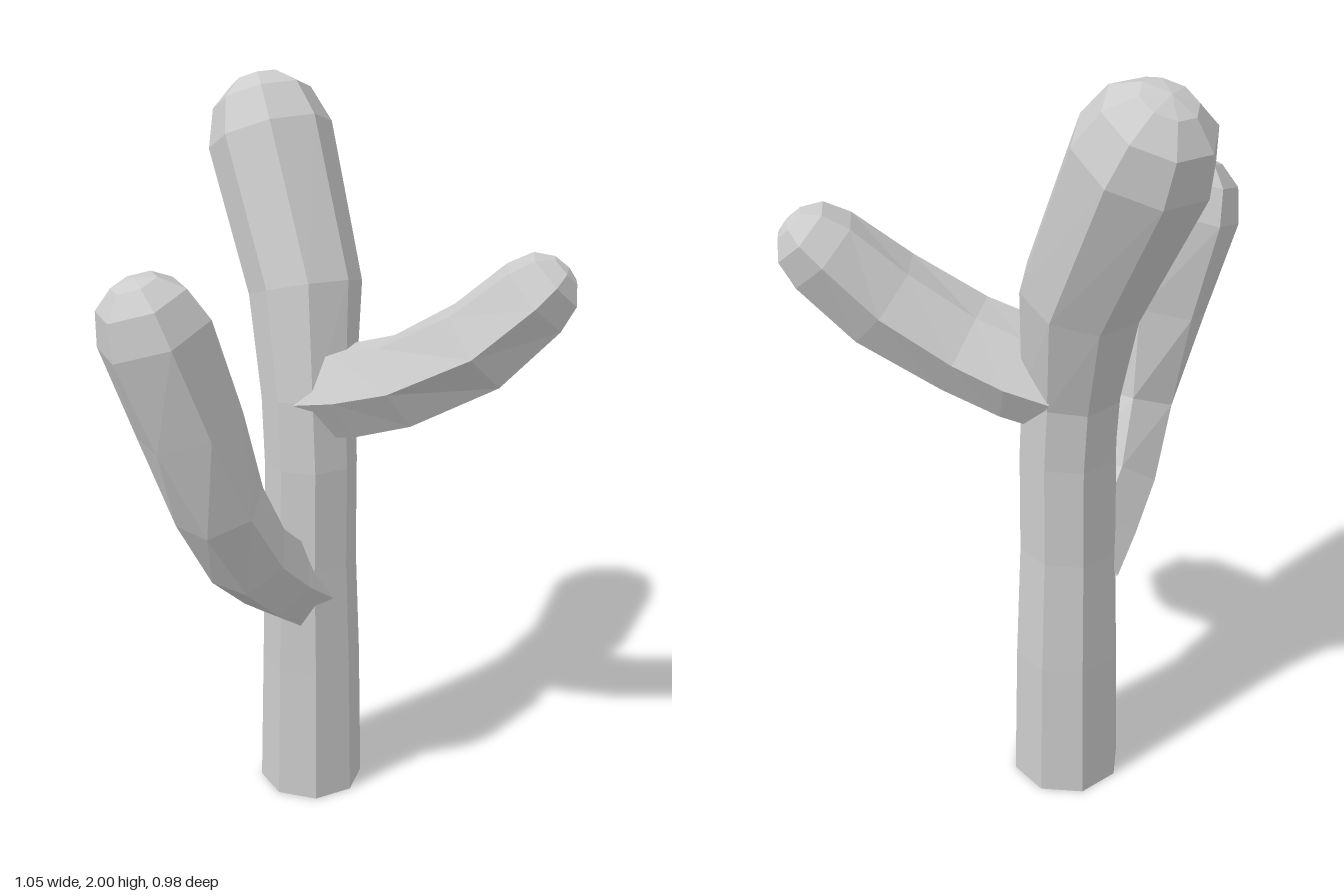
import * as THREE from 'three';

const material = new THREE.MeshStandardMaterial({
  color: 0xcccccc, flatShading: true, side: THREE.DoubleSide,
});

// Faceted limb: rings of vertices swept along [x, y, z, radius] points, closed by a dome
function limb(name, points, sides, reference) {
  const centres = points.map(([x, y, z]) => new THREE.Vector3(x, y, z));
  const last = centres.length - 1;
  const positions = [], index = [];

  const addRing = (centre, tangent, radius) => {
    const u = new THREE.Vector3().crossVectors(reference, tangent).normalize();
    const v = new THREE.Vector3().crossVectors(tangent, u);
    for (let j = 0; j < sides; j++) {
      const a = (j / sides) * Math.PI * 2;
      const p = centre.clone()
        .addScaledVector(u, Math.cos(a) * radius)
        .addScaledVector(v, Math.sin(a) * radius);
      positions.push(p.x, p.y, p.z);
    }
  };

  // Stem rings, each square to the path
  let tangent;
  centres.forEach((c, i) => {
    const before = c.clone().sub(centres[Math.max(i - 1, 0)]).normalize();
    const after = centres[Math.min(i + 1, last)].clone().sub(c).normalize();
    tangent = i === 0 ? after : before.add(after).normalize();
    addRing(c, tangent, points[i][3]);
  });

  // Rounded end
  const end = centres[last], radius = points[last][3];
  const domeAngles = [0.65, 1.15];
  for (const a of domeAngles) {
    addRing(end.clone().addScaledVector(tangent, Math.sin(a) * radius), tangent, Math.cos(a) * radius);
  }
  const tip = end.clone().addScaledVector(tangent, radius);
  positions.push(tip.x, tip.y, tip.z);

  const rings = points.length + domeAngles.length;
  for (let i = 0; i < rings; i++) {
    for (let j = 0; j < sides; j++) {
      const k = (j + 1) % sides;
      const a = i * sides + j, b = i * sides + k;
      if (i === rings - 1) index.push(a, b, rings * sides);
      else index.push(a, b, b + sides, a, b + sides, a + sides);
    }
  }

  const geometry = new THREE.BufferGeometry();
  geometry.setAttribute('position', new THREE.Float32BufferAttribute(positions, 3));
  geometry.setIndex(index);
  const flat = geometry.toNonIndexed();
  flat.computeVertexNormals();
  const mesh = new THREE.Mesh(flat, material);
  mesh.name = name;
  return mesh;
}

export function createModel() {
  const group = new THREE.Group();
  group.name = 'cactus';
  const up = new THREE.Vector3(0, 1, 0);
  const front = new THREE.Vector3(0, 0, 1);

  // Upright trunk, leaning to its right and back near the top
  group.add(limb('trunk', [
    [-0.115, 0, -0.175, 0.147],
    [-0.115, 0.4, -0.175, 0.138],
    [-0.115, 0.72, -0.17, 0.128],
    [-0.115, 1.0, -0.172, 0.126],
    [-0.128, 1.18, -0.178, 0.127],
    [-0.178, 1.46, -0.225, 0.152],
    [-0.352, 1.835, -0.287, 0.168],
  ], 8, front));

  // Low arm curving up in front
  group.add(limb('frontArm', [
    [-0.12, 0.63, -0.13, 0.12],
    [-0.12, 0.7, -0.03, 0.12],
    [-0.118, 0.8, 0.085, 0.12],
    [-0.115, 0.98, 0.195, 0.122],
    [-0.14, 1.22, 0.27, 0.14],
    [-0.18, 1.465, 0.342, 0.15],
  ], 6, up));

  // Higher arm reaching out to the left
  group.add(limb('leftArm', [
    [-0.11, 1.19, -0.19, 0.125],
    [0.0, 1.215, -0.212, 0.13],
    [0.135, 1.262, -0.243, 0.127],
    [0.312, 1.375, -0.316, 0.128],
    [0.425, 1.505, -0.392, 0.114],
  ], 6, up));

  return group;
}
